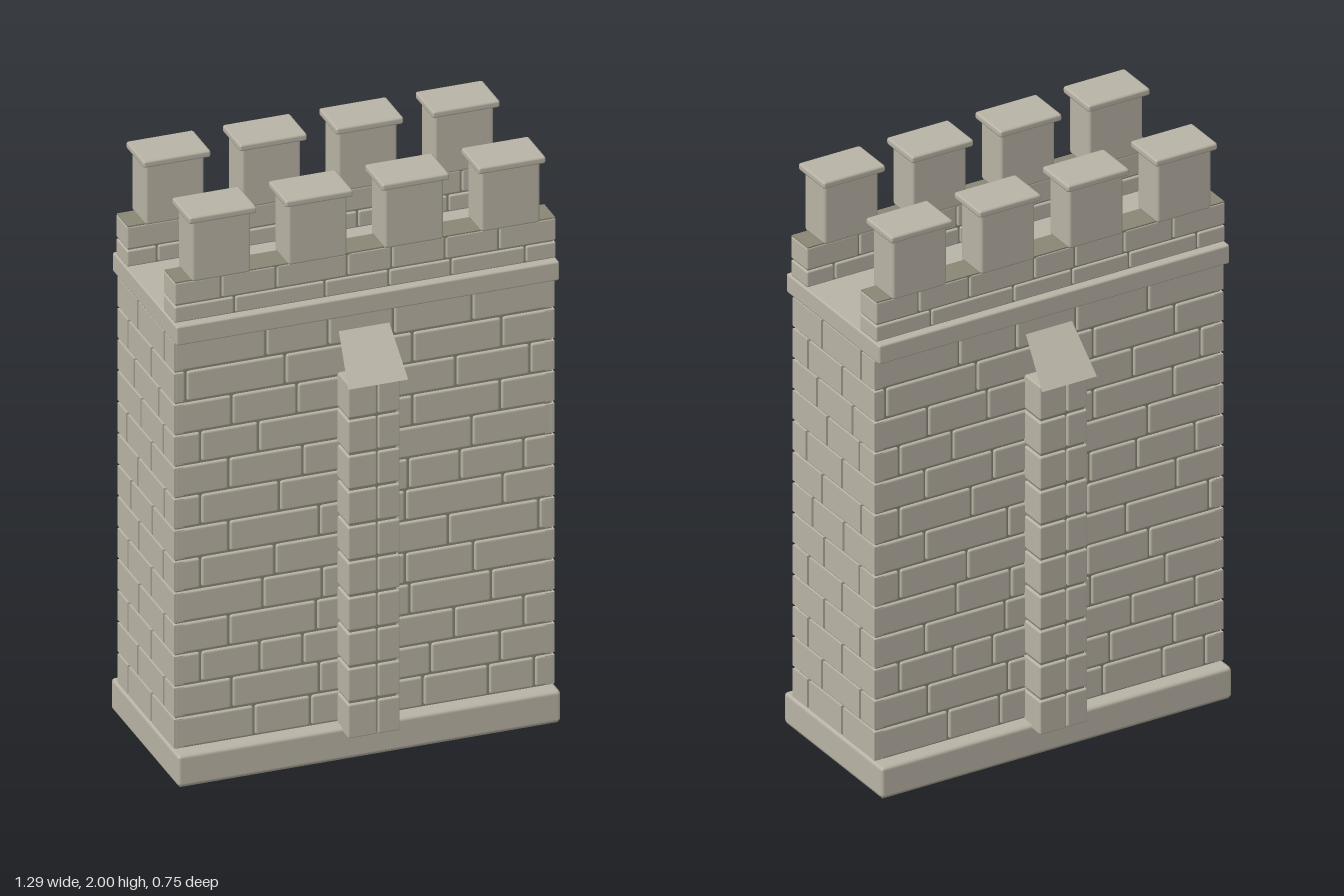
import * as THREE from 'three';
import { mergeGeometries } from 'three/addons/utils/BufferGeometryUtils.js';
import { RoundedBoxGeometry } from 'three/addons/geometries/RoundedBoxGeometry.js';

const stone = new THREE.MeshStandardMaterial({ color: 0xb9b4a6 });
stone.name = 'stone';
const mortar = new THREE.MeshStandardMaterial({ color: 0x8a8775 });
mortar.name = 'mortar';
const slate = new THREE.MeshStandardMaterial({ color: 0xbdb8aa, side: THREE.DoubleSide });
slate.name = 'capStone';

// Boxes given by their extents; a radius bevels the edges
function block(x0, x1, y0, y1, z0, z1, r = 0) {
  const w = x1 - x0, h = y1 - y0, d = z1 - z0;
  const radius = Math.min(r, w / 2.1, h / 2.1, d / 2.1);
  const g = r ? new RoundedBoxGeometry(w, h, d, 1, radius) : new THREE.BoxGeometry(w, h, d);
  return g.translate((x0 + x1) / 2, (y0 + y1) / 2, (z0 + z1) / 2);
}

function part(parent, name, geos, material) {
  const mesh = new THREE.Mesh(geos.length > 1 ? mergeGeometries(geos) : geos[0], material);
  mesh.name = name;
  parent.add(mesh);
  return mesh;
}

// Calls make(a, b) for every brick between the joints of one course
function course(start, end, joints, gap, make) {
  const cuts = [start - gap / 2, ...joints, end + gap / 2];
  for (let i = 0; i < cuts.length - 1; i++) make(cuts[i] + gap / 2, cuts[i + 1] - gap / 2);
}

// Vertical joints of each wall course, bottom to top
const frontJoints = [
  [-0.37, -0.18, 0.2, 0.42, 0.575], [-0.445, -0.15, 0.225, 0.46],
  [-0.55, -0.35, -0.205, 0.09, 0.305, 0.54], [-0.455, -0.16, 0.155, 0.43],
  [-0.34, -0.14, 0.14, 0.37], [-0.55, -0.3, 0.09, 0.285, 0.59],
  [-0.455, -0.15, 0.14, 0.47], [-0.55, -0.285, 0.15, 0.325, 0.54],
  [-0.455, -0.205, 0.09, 0.365, 0.62], [-0.55, -0.355, 0.165, 0.46],
  [-0.445, -0.225, 0.09, 0.31, 0.56], [-0.6, -0.265, 0.165, 0.465],
  [-0.33, -0.12, 0.1, 0.365],
];
const sideJoints = [
  [0.155, -0.05], [0.07, -0.16], [0.155, -0.05], [0.06, -0.16], [0.155, -0.05],
  [0.06, -0.155], [0.13, -0.06], [0.07, -0.165], [0.165, -0.05], [0.04, -0.155],
  [0.1, -0.115], [0.155, -0.05], [0.07, -0.165],
];
const parapetRows = [
  [1.622, 1.679, [-0.44, -0.135, 0.08, 0.29, 0.54]],
  [1.684, 1.763, [-0.485, -0.3, -0.06, 0.09, 0.27, 0.45]],
];
const merlonX = [-0.49, -0.165, 0.16, 0.485];

// One long face, one end wall, one parapet and its merlons
function buildHalf() {
  const half = new THREE.Group();
  const rowHeight = 1.44 / 13;

  const front = [], side = [];
  for (let i = 0; i < 13; i++) {
    const y0 = 0.112 + i * rowHeight, y1 = y0 + rowHeight;
    course(-0.64, 0.64, frontJoints[i], 0.006, (a, b) =>
      front.push(block(a, b, y0 + 0.003, y1 - 0.003, 0.215, 0.25, 0.008)));
    course(-0.249, 0.249, [...sideJoints[i]].reverse(), 0.012, (a, b) =>
      side.push(block(0.61, 0.642, y0 + 0.005, y1 - 0.005, a, b)));
  }
  part(half, 'frontBricks', front, stone);
  part(half, 'endBricks', side, stone);

  // Parapet: bricks through its full depth around a mortar core
  const parapet = [];
  for (const [y0, y1, joints] of parapetRows) {
    course(-0.643, 0.643, joints, 0.006, (a, b) =>
      parapet.push(block(a, b, y0, y1, 0.16, 0.26, 0.006)));
  }
  part(half, 'parapetBricks', parapet, stone);
  part(half, 'parapetCore', [block(-0.636, 0.636, 1.61, 1.758, 0.168, 0.252)], mortar);
  part(half, 'parapetTop', [block(-0.64, 0.64, 1.758, 1.766, 0.162, 0.258)], mortar);

  // Merlons with overhanging coping stones
  for (const x of merlonX) {
    part(half, 'merlon', [block(x - 0.1, x + 0.1, 1.762, 1.985, 0.15, 0.273, 0.01)], stone);
    part(half, 'merlonCoping', [block(x - 0.114, x + 0.114, 1.975, 2, 0.13, 0.288, 0.008)], stone);
  }

  // Buttress on the middle of the face
  const buttress = [];
  for (let i = 0; i < 10; i++) {
    const y0 = 0.095 + i * 0.125;
    course(-0.09, 0.086, [0.01], 0.004, (a, b) =>
      buttress.push(block(a, b, y0 + (i ? 0.005 : 0), y0 + (i < 9 ? 0.12 : 0.125), 0.24, 0.343, 0.006)));
  }
  part(half, 'buttressBricks', buttress, stone);
  part(half, 'buttressCore', [block(-0.081, 0.077, 0.1, 1.338, 0.23, 0.333)], mortar);

  // Sloping cap over the buttress, a single tapered slab face
  const cap = new THREE.BufferGeometry();
  cap.setAttribute('position', new THREE.Float32BufferAttribute([
    -0.102, 1.345, 0.375, 0.1, 1.345, 0.375, 0.084, 1.49, 0.25, -0.086, 1.49, 0.25,
  ], 3));
  cap.setIndex([0, 1, 2, 0, 2, 3]);
  cap.computeVertexNormals();
  part(half, 'buttressCap', [cap], slate);
  return half;
}

export function createModel() {
  const model = new THREE.Group();
  model.name = 'castleWall';

  part(model, 'wallCore', [block(-0.634, 0.634, 0.05, 1.58, -0.242, 0.242)], mortar);
  part(model, 'underside', [block(-0.638, 0.638, 0, 0.008, -0.29, 0.29)], mortar);
  part(model, 'plinth', [block(-0.646, 0.646, 0.002, 0.112, -0.298, 0.298, 0.012)], stone);
  part(model, 'cornice', [block(-0.646, 0.646, 1.552, 1.62, -0.283, 0.283, 0.007)], stone);

  // The back repeats the front, turned half a circle
  const front = buildHalf();
  front.name = 'frontHalf';
  const back = front.clone();
  back.name = 'backHalf';
  back.rotation.y = Math.PI;
  model.add(front, back);
  return model;
}
